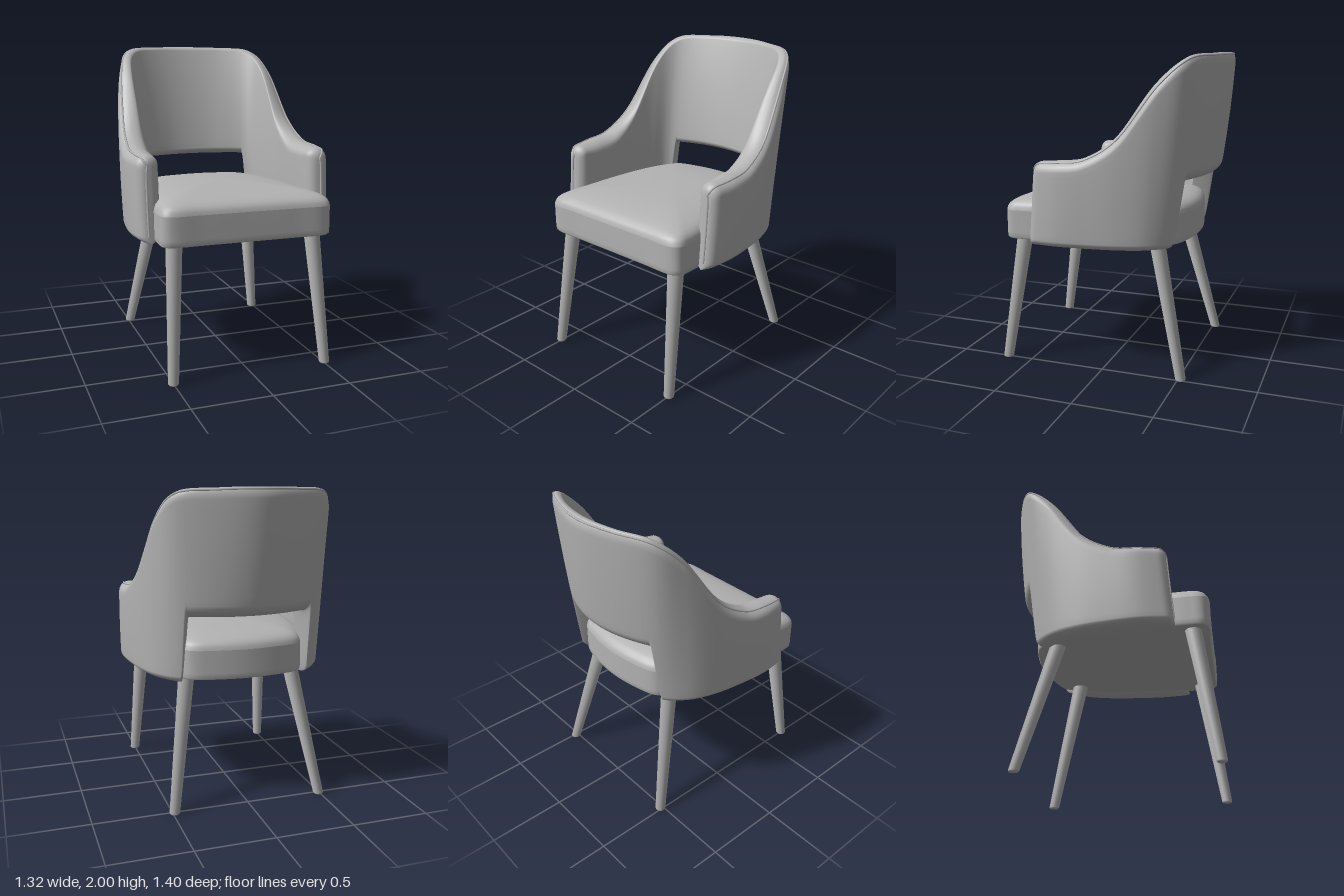
import * as THREE from 'three';

const V = (x, y, z) => new THREE.Vector3(x, y, z);

// Skin a list of closed rings with equal point counts
function loft(rings, capEnds = false) {
  const n = rings[0].length, index = [];
  for (let i = 0; i < rings.length - 1; i++) {
    for (let j = 0; j < n; j++) {
      const a = i * n + j, b = i * n + (j + 1) % n;
      index.push(a, b, a + n, b, b + n, a + n);
    }
  }
  if (capEnds) {
    const last = (rings.length - 1) * n;
    for (let j = 0; j < n / 2 - 1; j++) {
      const a = j, b = j + 1, c = n - 1 - j, d = n - 2 - j;
      index.push(a, c, b, b, c, d);
      index.push(last + a, last + b, last + c, last + b, last + d, last + c);
    }
  }
  const geometry = new THREE.BufferGeometry().setFromPoints(rings.flat());
  geometry.setIndex(index);
  geometry.computeVertexNormals();
  return geometry;
}

// Plan curve [x, z] from back centre to arm front, mirrored across x
const LAST = 7;
function planCurve(half, heights) {
  const pts = [];
  for (let k = -LAST; k <= LAST; k++) {
    const i = Math.abs(k);
    pts.push(V(Math.sign(k) * half[i][0], heights ? heights[i] : 0, half[i][1]));
  }
  const curve = new THREE.CatmullRomCurve3(pts, false, 'catmullrom', 0.5);
  return t => curve.getPoint((t + LAST) / (2 * LAST));
}

// Outer and inner faces of the wraparound shell at three heights
const rim = [2.0, 1.995, 1.972, 1.825, 1.515, 1.382, 1.355, 1.342];
const outer = [
  planCurve([[0, -.54], [.21, -.52], [.41, -.445], [.535, -.315], [.6, -.15], [.635, .05], [.65, .25], [.627, .447]]),
  planCurve([[0, -.63], [.225, -.593], [.435, -.495], [.553, -.345], [.62, -.15], [.65, .05], [.66, .23], [.63, .408]]),
  planCurve([[0, -.705], [.25, -.655], [.478, -.55], [.562, -.41], [.605, -.2], [.61, .05], [.61, .22], [.6, .38]], rim),
];
const inner = [
  planCurve([[0, -.41], [.185, -.395], [.37, -.34], [.437, -.22], [.467, -.08], [.477, .08], [.482, .25], [.5, .437]]),
  planCurve([[0, -.462], [.185, -.442], [.372, -.37], [.437, -.24], [.473, -.08], [.48, .08], [.485, .25], [.505, .4]]),
  planCurve([[0, -.637], [.24, -.603], [.43, -.51], [.51, -.38], [.545, -.2], [.55, .05], [.54, .22], [.53, .37]]),
];

// Quadratic blend of the three height levels
function atHeight(curves, t, y) {
  const [a, b, c] = [0.83, 1.3, 2.0];
  const w = [
    (y - b) * (y - c) / ((a - b) * (a - c)),
    (y - a) * (y - c) / ((b - a) * (b - c)),
    (y - a) * (y - b) / ((c - a) * (c - b)),
  ];
  const p = V(0, 0, 0);
  curves.forEach((f, i) => p.addScaledVector(f(t), w[i]));
  return p.setY(y);
}

const ARC = 6, ROWS = 14, ROUND = 0.3;

// Heights and half-widths up one face: bottom roll, flat, top roll
function faceProfile(bottom, top, rBottom, rTop) {
  const rows = [];
  for (let k = 0; k <= ARC; k++) {
    const a = THREE.MathUtils.degToRad(-85 * (1 - k / ARC));
    rows.push([0.5 - 0.5 * Math.cos(a), bottom + rBottom * (1 + Math.sin(a))]);
  }
  for (let k = 1; k < ROWS; k++) {
    rows.push([0, THREE.MathUtils.lerp(bottom + rBottom, top - rTop, k / ROWS)]);
  }
  for (let k = 0; k <= ARC; k++) {
    const a = THREE.MathUtils.degToRad(85 * k / ARC);
    rows.push([0.5 - 0.5 * Math.cos(a), top - rTop * (1 - Math.sin(a))]);
  }
  return rows;
}

// One rounded vertical section of the shell
function shellSection(t) {
  const s = Math.abs(t);
  const q = Math.max(0, (s - (LAST - ROUND)) / ROUND);
  const inset = 0.05 * (1 - Math.sqrt(Math.max(0, 1 - q * q)));
  const top = outer[2](t).y - inset;
  const side = THREE.MathUtils.smoothstep(s, 1.8, 2.06);
  const bottom = THREE.MathUtils.lerp(1.23, 0.813, side);
  const wTop = atHeight(outer, t, top).distanceTo(atHeight(inner, t, top));
  const outside = faceProfile(bottom, top, THREE.MathUtils.lerp(0.08, 0.045, side), Math.max(0.065, 0.38 * wTop));
  const inside = faceProfile(bottom, top, 0.045, 0.38 * wTop);
  const ring = outside.concat(inside.map(([f, y]) => [1 - f, y]).reverse());
  return ring.map(([f, y]) => {
    const o = atHeight(outer, t, y), i = atHeight(inner, t, y);
    const squeeze = 1 - 2 * inset / o.distanceTo(i);
    return o.lerp(i, 0.5 + (f - 0.5) * squeeze);
  });
}

function shellSections() {
  const ts = [];
  for (let t = 0; t < LAST - ROUND - 0.01; t += (t > 1.7 && t < 2.12) ? 0.015 : 0.08) ts.push(t);
  for (let k = 0; k <= 6; k++) ts.push(LAST - ROUND + ROUND * Math.sin(k / 6 * Math.PI / 2));
  const all = ts.slice(1).reverse().map(t => -t).concat(ts);
  return all.map(shellSection);
}

// Raised seam along the rim and down both arm fronts
function pipingGeometry(sections) {
  const j = ARC + ROWS + 4;
  const path = sections.map(ring => ring[j]);
  const down = ring => ring.slice(ARC, j).filter((p, k) => k % 2 === 0);
  const points = [...down(sections[0]), ...path, ...down(sections.at(-1)).reverse()];
  const curve = new THREE.CatmullRomCurve3(points, false, 'centripetal');
  return new THREE.TubeGeometry(curve, 320, 0.007, 6);
}

// Domed cushion from scaled copies of one outline
function seatGeometry() {
  const side = [[.3, .648], [.5, .645], [.545, .61], [.55, .52], [.54, .38], [.52, .1], [.47, -.2], [.405, -.37], [.355, -.44], [.2, -.485]];
  const outline = [[0, .648], ...side, [0, -.505], ...side.map(([x, z]) => [-x, z]).reverse()];
  const curve = new THREE.CatmullRomCurve3(outline.map(([x, z]) => V(x, 0, z)), true, 'centripetal');
  const plan = curve.getPoints(120).slice(0, 120);
  // The repeated ring at 1.015 keeps the seam above the wall crisp
  const levels = [
    [0, .83], [.985, .83], [.985, .83], [.998, .84], [1, .87], [1, 1.015], [1, 1.015], [.992, 1.035],
    [.975, 1.053], [.945, 1.068], [.9, 1.082], [.82, 1.096], [.68, 1.11], [.48, 1.121], [.25, 1.127], [0, 1.13],
  ];
  return loft(levels.map(([s, y]) => plan.map(p => V(p.x * s, y, 0.05 + (p.z - 0.05) * s))));
}

// Tapered leg, sheared from its top centre to its foot
function legGeometry(top, foot) {
  const h = 0.88;
  const profile = [[0, 0], [.027, 0], [.033, .008], [.052, h], [0, h]];
  const geometry = new THREE.LatheGeometry(profile.map(([r, y]) => new THREE.Vector2(r, y)), 24);
  const pos = geometry.attributes.position;
  for (let i = 0; i < pos.count; i++) {
    const k = pos.getY(i) / 0.83;
    pos.setX(i, pos.getX(i) + THREE.MathUtils.lerp(foot[0], top[0], k));
    pos.setZ(i, pos.getZ(i) + THREE.MathUtils.lerp(foot[1], top[1], k));
  }
  return geometry;
}

export function createModel() {
  const group = new THREE.Group();
  const grey = new THREE.MeshStandardMaterial({ color: 0xb3b3b3 });
  grey.name = 'grey';
  const add = (name, geometry) => {
    const mesh = new THREE.Mesh(geometry, grey);
    mesh.name = name;
    group.add(mesh);
  };

  const sections = shellSections();
  add('backAndArms', loft(sections, true));
  add('piping', pipingGeometry(sections));
  add('seat', seatGeometry());

  for (const [side, s] of [['Left', 1], ['Right', -1]]) {
    add('front' + side + 'Leg', legGeometry([s * 0.455, 0.545], [s * 0.503, 0.669]));
    add('rear' + side + 'Leg', legGeometry([s * 0.352, -0.32], [s * 0.49, -0.52]));
  }
  return group;
}
